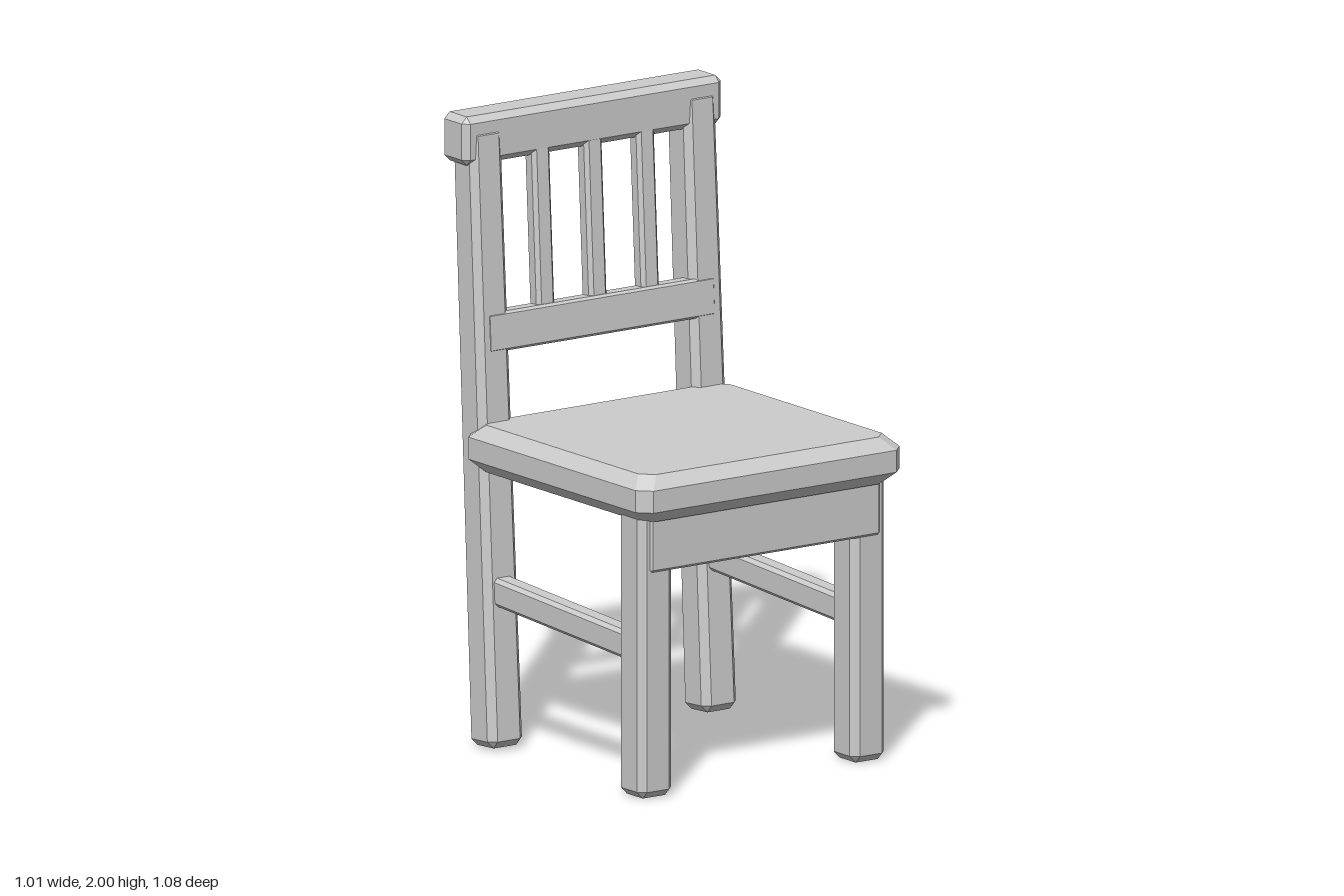
import * as THREE from 'three';
import { ConvexGeometry } from 'three/addons/geometries/ConvexGeometry.js';

// Box with chamfered edges; cut also clips the corners of the top and bottom
// faces, taper scales the width and depth of the upper end.
function chamferedBox(w, h, d, c, { cut = 0, taper = 1 } = {}) {
  const X = w / 2, Y = h / 2, Z = d / 2, points = [];
  for (const sx of [-1, 1]) for (const sy of [-1, 1]) for (const sz of [-1, 1]) {
    const k = sy > 0 ? taper : 1;
    const add = (x, y, z) => points.push(new THREE.Vector3(sx * x * k, sy * y, sz * z * k));
    add(X, Y - c, Z - c);
    add(X - c, Y - c, Z);
    add(X - c, Y, Z - c - cut);
    if (cut > 0) add(X - c - cut, Y, Z - c);
  }
  return new ConvexGeometry(points);
}

export function createModel() {
  const chair = new THREE.Group();
  chair.name = 'chair';
  const paint = new THREE.MeshStandardMaterial({ color: 0xcccccc });
  paint.name = 'plain grey';

  function add(name, geometry, x, y, z, tilt = 0) {
    const mesh = new THREE.Mesh(geometry, paint);
    mesh.name = name;
    mesh.position.set(x, y, z);
    mesh.rotation.x = tilt;
    chair.add(mesh);
  }

  // The back leans: its centre line moves backwards with height
  const lean = -0.054;
  const backZ = (y) => -0.362 - 0.054 * y;

  // Seat and front apron
  add('seat', chamferedBox(1.01, 0.15, 0.96, 0.04, { cut: 0.04 }), 0, 0.96, 0.06);
  add('frontApron', chamferedBox(0.88, 0.19, 0.05, 0.008), 0, 0.815, 0.467);

  // Legs and side stretchers
  for (const [side, s] of [['left', 1], ['right', -1]]) {
    add(side + 'FrontLeg', chamferedBox(0.13, 0.92, 0.13, 0.023), s * 0.407, 0.46, 0.42);
    add(side + 'BackPost', chamferedBox(0.132, 1.955, 0.13, 0.023, { taper: 0.92 }),
      s * 0.409, 0.982, backZ(0.982), lean);
    add(side + 'Stretcher', chamferedBox(0.07, 0.09, 0.74, 0.012), s * 0.41, 0.483, 0.02, 0.052);
  }

  // Backrest: crest rail, lower rail and three slats
  add('crestRail', chamferedBox(0.99, 0.155, 0.13, 0.02), 0, 1.9225, -0.475);
  add('lowerRail', chamferedBox(0.87, 0.125, 0.06, 0.008), 0, 1.313, -0.4, lean);
  for (const x of [-0.2, 0, 0.2]) {
    add('slat', chamferedBox(0.068, 0.56, 0.055, 0.012), x, 1.61, -0.424, lean);
  }
  return chair;
}
